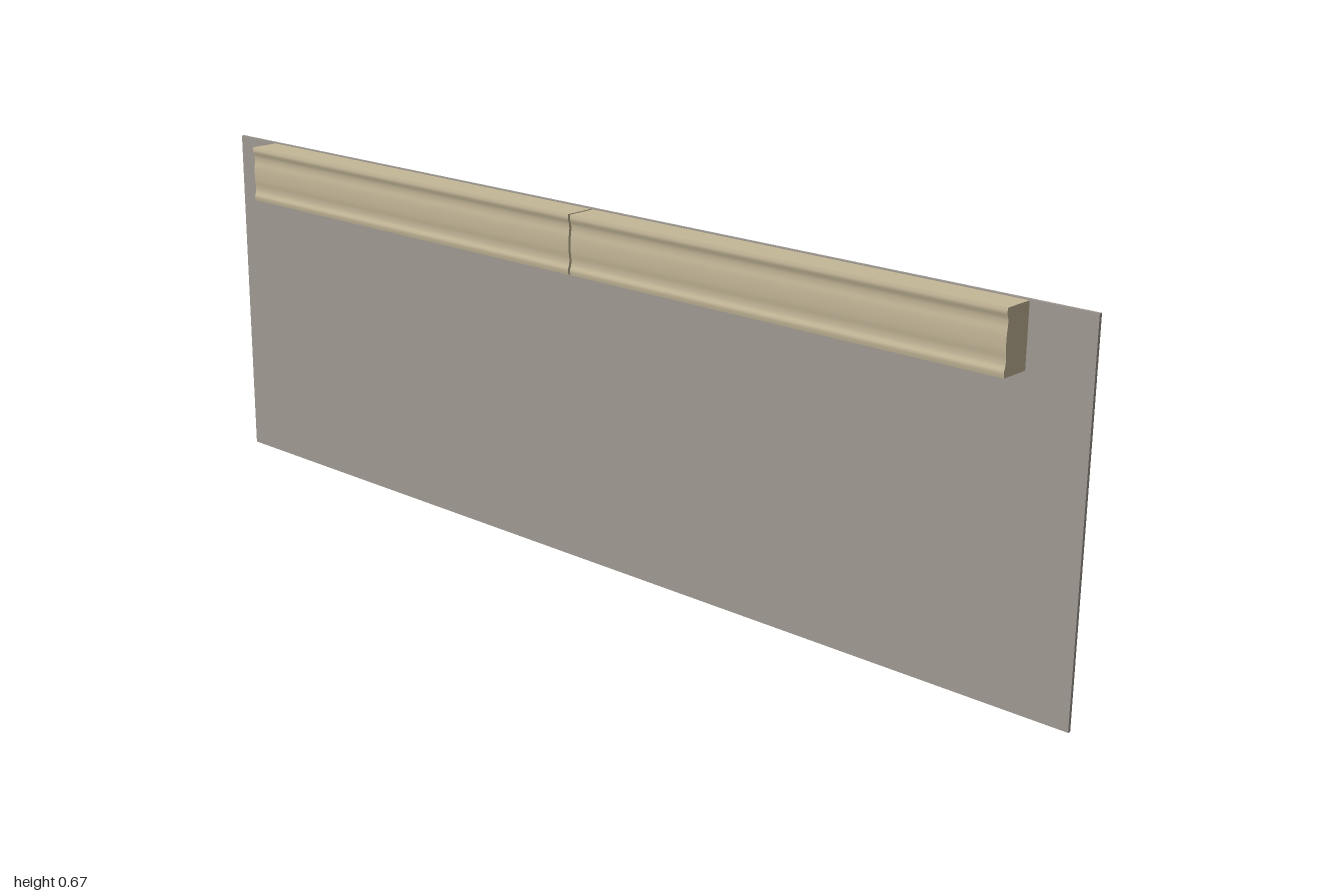
import * as THREE from 'three';

export function createModel() {
  const model = new THREE.Group();
  const stone = new THREE.MeshStandardMaterial({ color: 0xa09a93 });
  stone.name = 'warm grey';
  const wood = new THREE.MeshStandardMaterial({ color: 0xc5b899 });
  wood.name = 'beige';

  const add = (name, geometry, material, x, y, z) => {
    const mesh = new THREE.Mesh(geometry, material);
    mesh.name = name;
    mesh.position.set(x, y, z);
    model.add(mesh);
  };

  // thin upright backing panel
  add('backPanel', new THREE.BoxGeometry(2, 0.665, 0.006), stone, 0, 0.3325, -0.03);

  // moulding face, as [y, z] points from bottom to top
  const face = new THREE.SplineCurve([
    [0.556, 0.033], [0.565, 0.034], [0.574, 0.031], [0.584, 0.0305], [0.596, 0.032],
    [0.61, 0.0325], [0.624, 0.032], [0.636, 0.0305], [0.646, 0.031], [0.656, 0.034], [0.664, 0.033],
  ].map(([y, z]) => new THREE.Vector2(y, z))).getPoints(40);

  // moulded front strip: a closed profile swept along x, smooth across its face
  function moulding(width) {
    const rows = face.length;
    const sheet = new THREE.PlaneGeometry(width, 1, 1, rows - 1);
    const p = sheet.attributes.position;
    for (let i = 0; i < p.count; i++) {
      const point = face[rows - 1 - Math.floor(i / 2)];
      p.setY(i, point.x);
      p.setZ(i, point.y);
    }
    sheet.computeVertexNormals();
    return sheet;
  }

  // end caps closing the strip
  const cap = new THREE.Shape([
    new THREE.Vector2(-0.023, 0.556),
    ...face.map((q) => new THREE.Vector2(-q.y, q.x)),
    new THREE.Vector2(-0.023, 0.664),
  ]);
  const capGeometry = new THREE.ShapeGeometry(cap).rotateY(Math.PI / 2);
  const capMaterial = wood.clone();
  capMaterial.name = 'beige end';
  capMaterial.side = THREE.DoubleSide;

  // two rails meeting at a narrow joint
  for (const [side, x0, x1] of [['right', -0.885, -0.006], ['left', -0.001, 0.885]]) {
    const width = x1 - x0, x = (x0 + x1) / 2;
    add(side + 'Rail', new THREE.BoxGeometry(width, 0.108, 0.047), wood, x, 0.61, -0.0005);
    add(side + 'Moulding', moulding(width), wood, x, 0, 0);
    for (const end of [x0, x1]) add(side + 'MouldingEnd', capGeometry, capMaterial, end, 0, 0);
    // top and bottom edges of the moulding
    for (const y of [0.5565, 0.6635]) {
      add(side + 'MouldingEdge', new THREE.BoxGeometry(width, 0.001, 0.01), wood, x, y, 0.028);
    }
  }
  return model;
}
